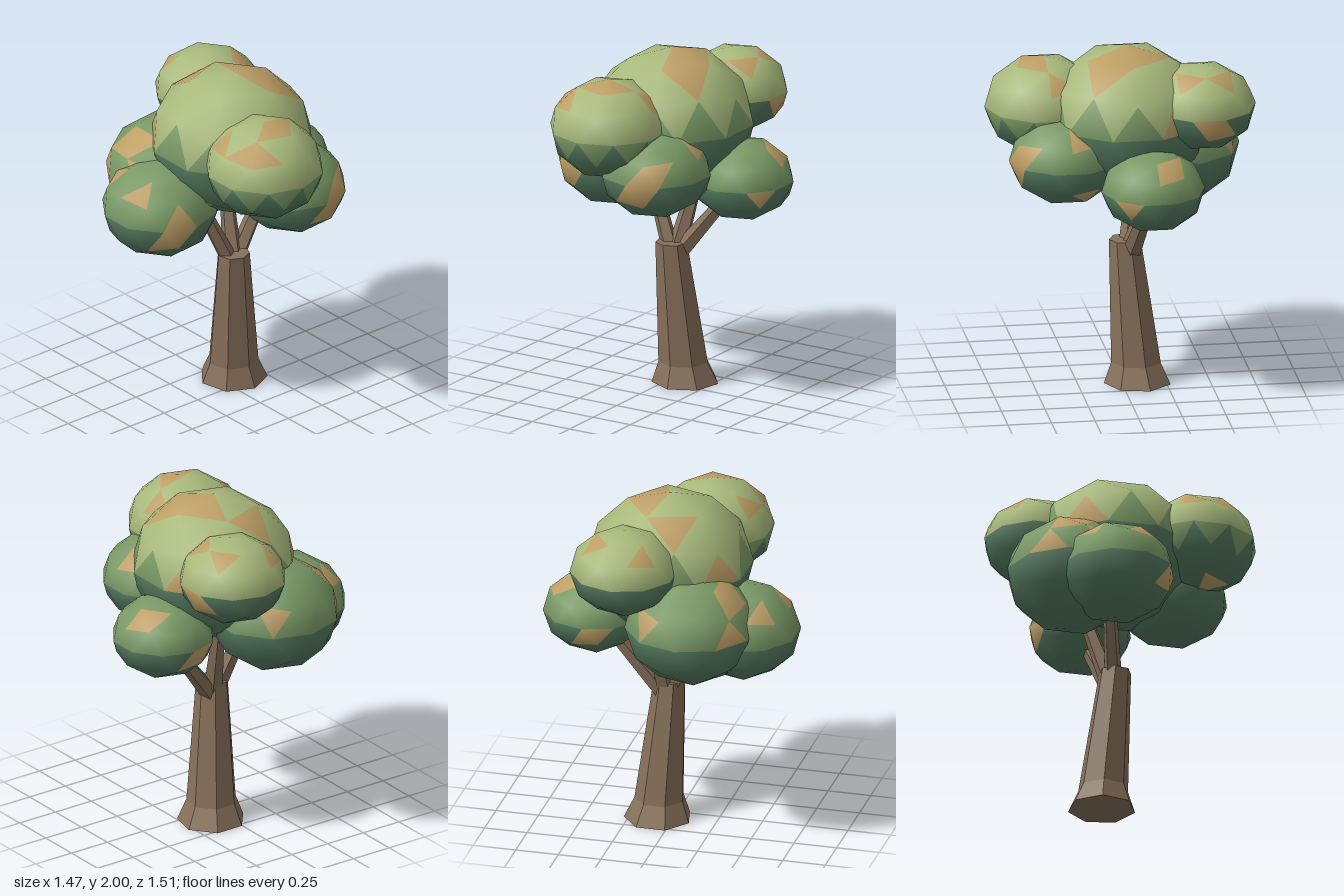
import * as THREE from 'three';

const COLORS = { light: 0xa9ba7c, mid: 0x7a9a66, dark: 0x54795f, autumn: 0xbfa066 };
const leafMats = {};
for (const key in COLORS) leafMats[key] = new THREE.MeshStandardMaterial({ color: COLORS[key] });
const bark = new THREE.MeshStandardMaterial({ color: 0x86705a, flatShading: true });

// Unit ball of 80 triangles: two poles, two rings of five, split once
function leafBall() {
  const verts = [0, 1, 0, 0, -1, 0], faces = [];
  const h = 1 / Math.sqrt(5), r = 2 * h;
  for (let k = 0; k < 5; k++) {
    const a = k * Math.PI * 0.4, b = a + Math.PI * 0.2;
    verts.push(r * Math.cos(a), h, -r * Math.sin(a), r * Math.cos(b), -h, -r * Math.sin(b));
    const u = 2 + 2 * k, l = u + 1, u2 = 2 + 2 * ((k + 1) % 5), l2 = u2 + 1;
    faces.push(0, u, u2, u, l, u2, l, l2, u2, 1, l2, l);
  }
  return new THREE.PolyhedronGeometry(verts, faces, 1, 1);
}

// One leaf clump: faces coloured by height, with autumn patches around a main
// direction and a few scattered by a seeded rule
function leafClump(name, at, r, ry, light, mid, patch, seed) {
  const group = new THREE.Group();
  group.name = name;
  const ball = leafBall();
  const p = ball.attributes.position, n = ball.attributes.normal;
  const centers = [];
  for (let i = 0; i < p.count; i += 3) {
    const c = new THREE.Vector3();
    for (let j = 0; j < 3; j++) c.add(new THREE.Vector3().fromBufferAttribute(p, i + j));
    centers.push(c.normalize());
  }
  const kinds = centers.map((c) => (c.y > light ? 'light' : c.y > mid ? 'mid' : 'dark'));
  const dir = new THREE.Vector3(...patch).normalize();
  const nearest = centers.map((c, i) => i).sort((a, b) => centers[b].dot(dir) - centers[a].dot(dir));
  kinds[nearest[0]] = kinds[nearest[1]] = 'autumn';
  for (let k = 0; k < 6; k++) kinds[(seed * 17 + k * 13 + k * k) % kinds.length] = 'autumn';
  ball.scale(r, ry, r);
  for (const key in COLORS) {
    const pos = [], nor = [];
    kinds.forEach((kind, f) => {
      if (kind !== key) return;
      pos.push(...p.array.slice(f * 9, f * 9 + 9));
      nor.push(...n.array.slice(f * 9, f * 9 + 9));
    });
    if (!pos.length) continue;
    const g = new THREE.BufferGeometry();
    g.setAttribute('position', new THREE.Float32BufferAttribute(pos, 3));
    g.setAttribute('normal', new THREE.Float32BufferAttribute(nor, 3));
    const mesh = new THREE.Mesh(g, leafMats[key]);
    mesh.name = key + 'Leaves';
    group.add(mesh);
  }
  group.position.set(...at);
  return group;
}

// Leaning trunk with a flared foot: [y, radius, x, z] from top to bottom
function trunk() {
  const rows = [[0.84, 0.093, 0.035, -0.03], [0.12, 0.145, 0.08, -0.088], [0, 0.195, 0.088, -0.095]];
  const g = new THREE.CylinderGeometry(1, 1, 2, 7, 2);
  const p = g.attributes.position;
  for (let i = 0; i < p.count; i++) {
    const [y, r, x, z] = rows[Math.round(1 - p.getY(i))];
    p.setXYZ(i, x + p.getX(i) * r, y, z + p.getZ(i) * r);
  }
  g.computeVertexNormals();
  const mesh = new THREE.Mesh(g, bark);
  mesh.name = 'trunk';
  return mesh;
}

// Tapered five-sided branch between two points
function branch(name, from, to, r0, r1) {
  const a = new THREE.Vector3(...from), b = new THREE.Vector3(...to);
  const mesh = new THREE.Mesh(new THREE.CylinderGeometry(r1, r0, a.distanceTo(b), 5), bark);
  mesh.name = name;
  mesh.position.copy(a).lerp(b, 0.5);
  mesh.quaternion.setFromUnitVectors(new THREE.Vector3(0, 1, 0), b.sub(a).normalize());
  return mesh;
}

export function createModel() {
  const tree = new THREE.Group();
  tree.name = 'tree';
  tree.add(
    trunk(),
    branch('rightBranch', [0.03, 0.76, -0.04], [-0.2, 1.3, -0.13], 0.052, 0.035),
    branch('middleBranch', [0.05, 0.76, -0.05], [0.14, 1.42, -0.26], 0.06, 0.025),
    branch('leftBranch', [0.07, 0.77, -0.06], [0.42, 1.22, -0.13], 0.055, 0.035),
  );
  // Upper clumps are light on top, lower ones stay in the darker greens
  tree.add(
    leafClump('crownClump', [0.033, 1.57, -0.04], 0.476, 0.43, 0.25, -0.1, [0.33, 0.9, 0], 1),
    leafClump('frontUpperClump', [-0.105, 1.62, 0.415], 0.342, 0.29, 0, -0.24, [-0.66, 0.65, 0.3], 2),
    leafClump('backUpperClump', [0.195, 1.67, -0.445], 0.31, 0.25, 0, 0, [0.9, -0.15, -0.1], 3),
    leafClump('frontLowerClump', [0.155, 1.38, 0.332], 0.323, 0.26, 2, 0, [0.3, -0.15, 0.9], 4),
    leafClump('rightClump', [-0.416, 1.247, -0.14], 0.335, 0.282, 2, 0, [-0.4, -0.22, 0.85], 5),
    leafClump('leftClump', [0.45, 1.265, -0.128], 0.297, 0.237, 2, 0, [0.7, 0.6, -0.2], 6),
    leafClump('backLowerClump', [-0.17, 1.32, -0.335], 0.38, 0.33, 2, 0, [-0.75, 0.6, -0.1], 7),
  );
  return tree;
}
